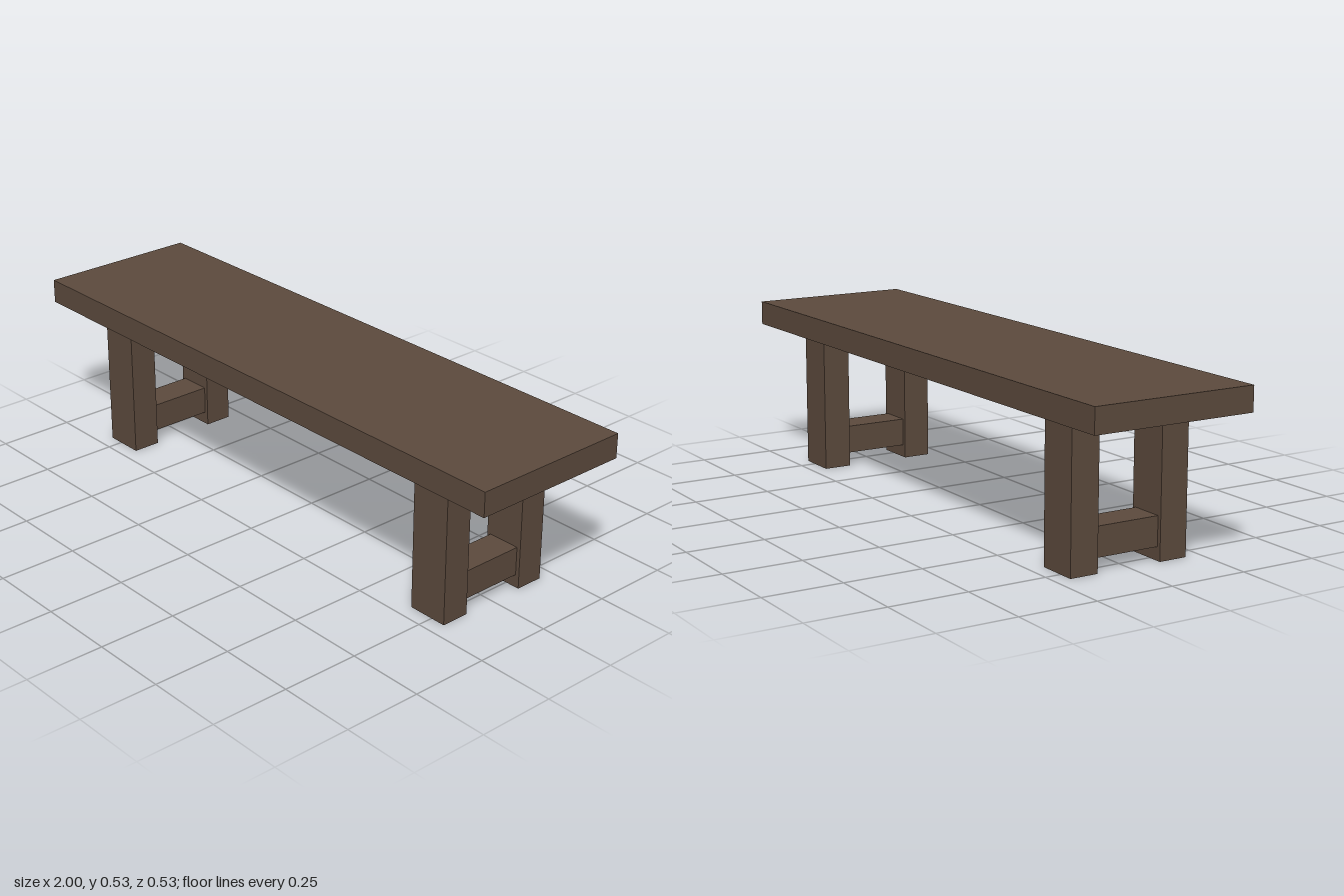
import * as THREE from 'three';

export function createModel() {
  const group = new THREE.Group();
  const wood = new THREE.MeshStandardMaterial({ color: 0x5c4a3d });

  // Box placed by its centre in x and z, and by its underside in y
  const addBox = (name, [w, h, d], [x, y, z]) => {
    const mesh = new THREE.Mesh(new THREE.BoxGeometry(w, h, d), wood);
    mesh.name = name;
    mesh.position.set(x, y + h / 2, z);
    group.add(mesh);
  };

  // Table top
  addBox('tableTop', [2, 0.078, 0.533], [0, 0.455, 0]);

  // A pair of legs joined by a low stretcher at each end
  for (const [side, sx] of [['left', 1], ['right', -1]]) {
    const x = sx * 0.733;
    addBox(side + 'FrontLeg', [0.133, 0.455, 0.092], [x, 0, 0.154]);
    addBox(side + 'BackLeg', [0.133, 0.455, 0.092], [x, 0, -0.154]);
    addBox(side + 'Stretcher', [0.107, 0.092, 0.216], [x, 0.042, 0]);
  }
  return group;
}
